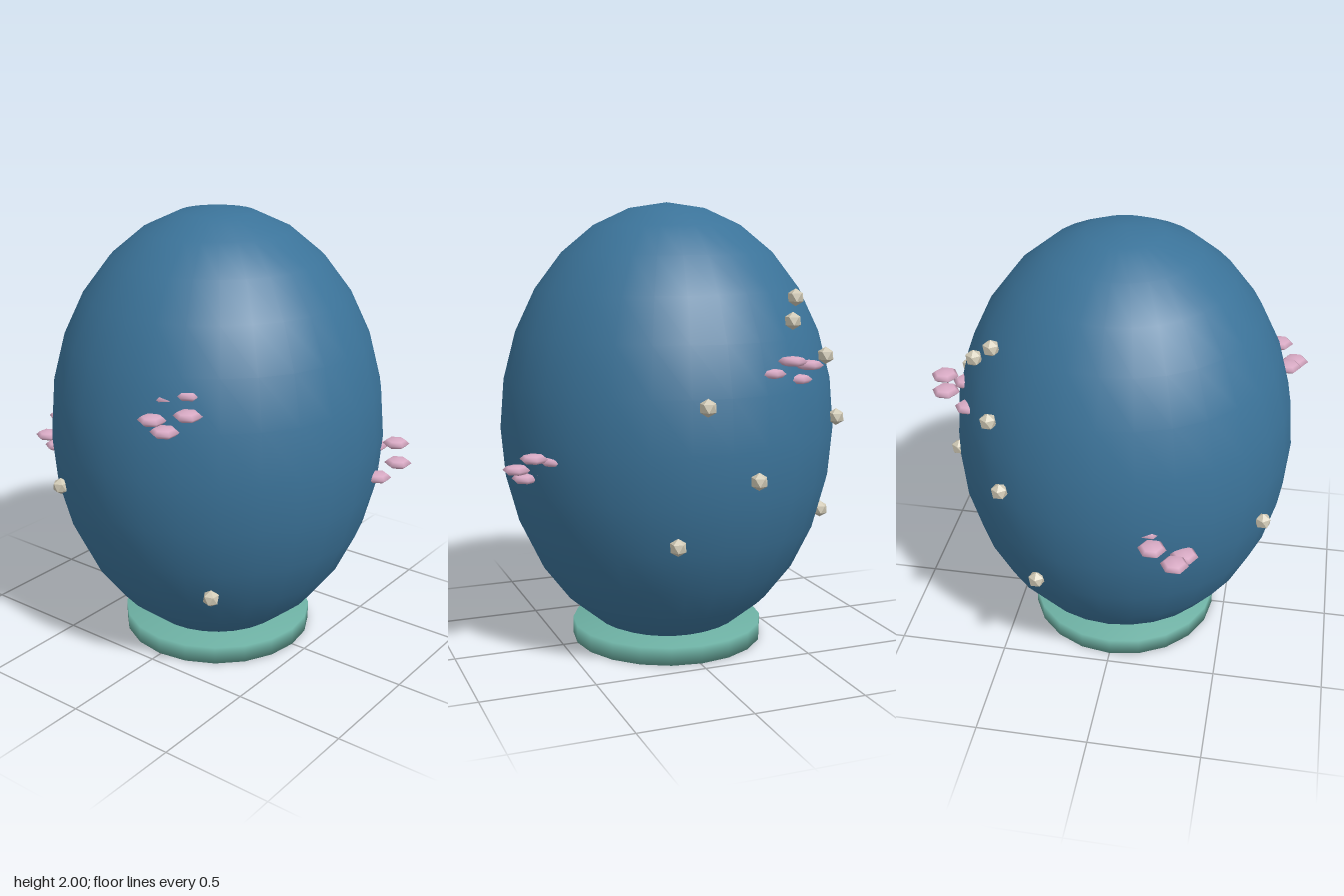
import * as THREE from 'three';
import { mergeVertices } from 'three/addons/utils/BufferGeometryUtils.js';

const paint = (name, color) => {
  const m = new THREE.MeshStandardMaterial({ color });
  m.name = name;
  return m;
};

// Share normals across all edges for soft shading
function softened(geometry) {
  geometry.deleteAttribute('normal');
  geometry.deleteAttribute('uv');
  const g = mergeVertices(geometry, 1e-4);
  g.computeVertexNormals();
  return g;
}

export function createModel() {
  const group = new THREE.Group();
  const blue = paint('deepBlue', 0x3b7399);
  const teal = paint('seaGreen', 0x6db0a3);
  const pink = paint('coralPink', 0xd8aac4);
  const stone = paint('paleStone', 0xd0c9b5);
  stone.flatShading = true;

  const add = (name, geometry, material, x, y, z, parent = group) => {
    const mesh = new THREE.Mesh(geometry, material);
    mesh.name = name;
    mesh.position.set(x, y, z);
    parent.add(mesh);
    return mesh;
  };

  // Egg-shaped body on a round foot
  const cx = -0.008;
  add('eggBody', new THREE.SphereGeometry(1, 28, 14).scale(0.757, 1, 0.757), blue, cx, 1, 0);
  add('footDisc', softened(new THREE.CylinderGeometry(0.44, 0.44, 0.08, 20)), teal, cx, 0.04, 0);

  // Coral clusters: five flat hexagonal buds in a tilted ring
  const bud = new THREE.SphereGeometry(0.06, 6, 4).rotateY(Math.PI / 6).scale(1, 0.36, 1);
  const clusters = [
    [0.277, 1.305, 0.665],
    [0.693, 0.903, -0.297],
    [-0.293, 1.305, -0.668],
    [-0.708, 0.905, 0.288],
  ];
  for (const [x, y, z] of clusters) {
    const cluster = new THREE.Group();
    cluster.name = 'coralCluster';
    cluster.position.set(x, y, z);
    group.add(cluster);
    for (let i = 0; i < 5; i++) {
      const a = (i / 5) * Math.PI * 2;
      add('coralBud', bud, pink, 0.08 * Math.cos(a), 0.06 * Math.sin(a), -0.08 * Math.sin(a), cluster);
    }
  }

  // Barnacles: small faceted stones with a point upward
  const barnacle = new THREE.IcosahedronGeometry(0.038, 0).rotateZ(0.5536);
  const barnacles = [
    [-0.363, 0.822, 0.668],
    [0.363, 0.445, 0.528],
    [-0.118, 0.88, -0.763],
    [0.105, 1.194, -0.753],
    [-0.348, 1.51, -0.583],
    [-0.408, 1.6, -0.487],
    [-0.566, 1.344, -0.474],
    [-0.655, 1.06, -0.42],
    [0.205, 0.616, -0.687],
    [-0.66, 0.605, -0.28],
  ];
  for (const [x, y, z] of barnacles) add('barnacle', barnacle, stone, x, y, z);

  return group;
}
